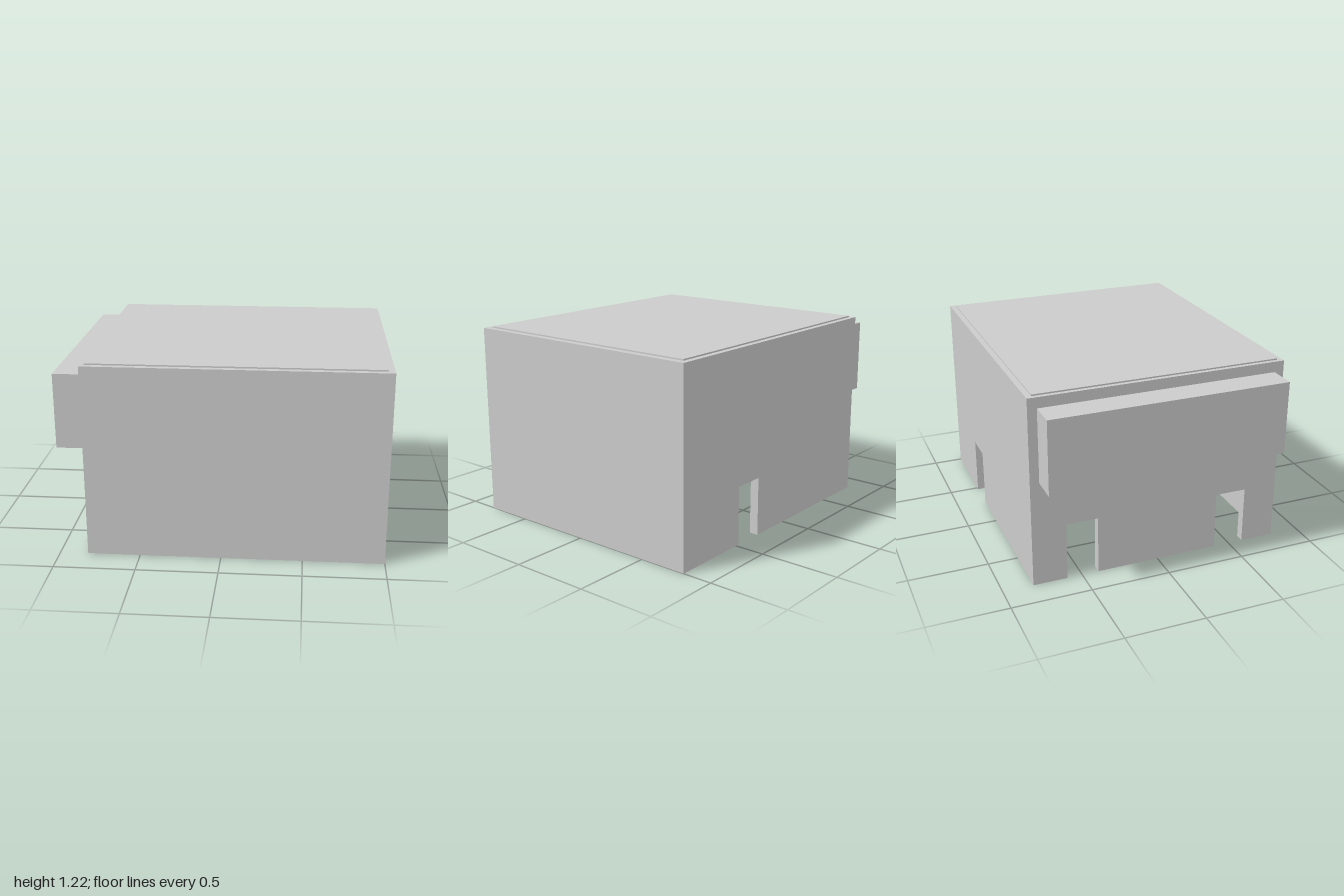
import * as THREE from 'three';

const X0 = -0.826, X1 = 1.0, Z = 0.81;   // body footprint
const TOP = 1.207, CEILING = 0.585;      // body top and underside of the solid upper part
const T = 0.056;                         // wall thickness
const NOTCH = 0.37;                      // height of the openings at the base

export function createModel() {
  const group = new THREE.Group();
  const material = new THREE.MeshStandardMaterial({ color: 0xcccccc, flatShading: true });

  const add = (name, geometry) => {
    const mesh = new THREE.Mesh(geometry, material);
    mesh.name = name;
    group.add(mesh);
    return mesh;
  };

  // Box given by its two extreme corners
  const block = (name, a, b) => {
    const size = b.map((v, i) => v - a[i]);
    const mesh = add(name, new THREE.BoxGeometry(...size));
    mesh.position.set(...a.map((v, i) => v + size[i] / 2));
    return mesh;
  };

  // Upright wall from u0 to u1 with openings cut up from the bottom edge
  const wall = (name, u0, u1, notches = []) => {
    const shape = new THREE.Shape();
    shape.moveTo(u0, 0);
    for (const [a, b] of notches) {
      shape.lineTo(a, 0);
      shape.lineTo(a, NOTCH);
      shape.lineTo(b, NOTCH);
      shape.lineTo(b, 0);
    }
    shape.lineTo(u1, 0);
    shape.lineTo(u1, TOP);
    shape.lineTo(u0, TOP);
    shape.closePath();
    return add(name, new THREE.ExtrudeGeometry(shape, { depth: T, bevelEnabled: false }));
  };

  // Front and back walls, the back one with a single opening
  wall('frontWall', X0, X1).position.z = Z - T;
  wall('backWall', X0, X1, [[0.28, 0.48]]).position.z = -Z;

  // Side walls fit between them; the right one has two openings
  const left = wall('leftWall', -Z + T, Z - T);
  const right = wall('rightWall', -Z + T, Z - T, [[-0.595, -0.395], [0.395, 0.595]]);
  left.position.x = X1;
  right.position.x = X0 + T;
  left.rotation.y = right.rotation.y = -Math.PI / 2;

  // Solid upper part above the open base
  block('upperBody', [X0 + T, CEILING, -Z + T], [X1 - T, TOP, Z - T]);

  // Thin raised panel on top
  block('topPanel', [-0.80, TOP, -0.775], [0.96, 1.216, 0.775]);

  // Long box projecting from the right side
  block('sideBox', [-1.0, 0.675, -0.753], [X0, 1.14, 0.75]);

  return group;
}
